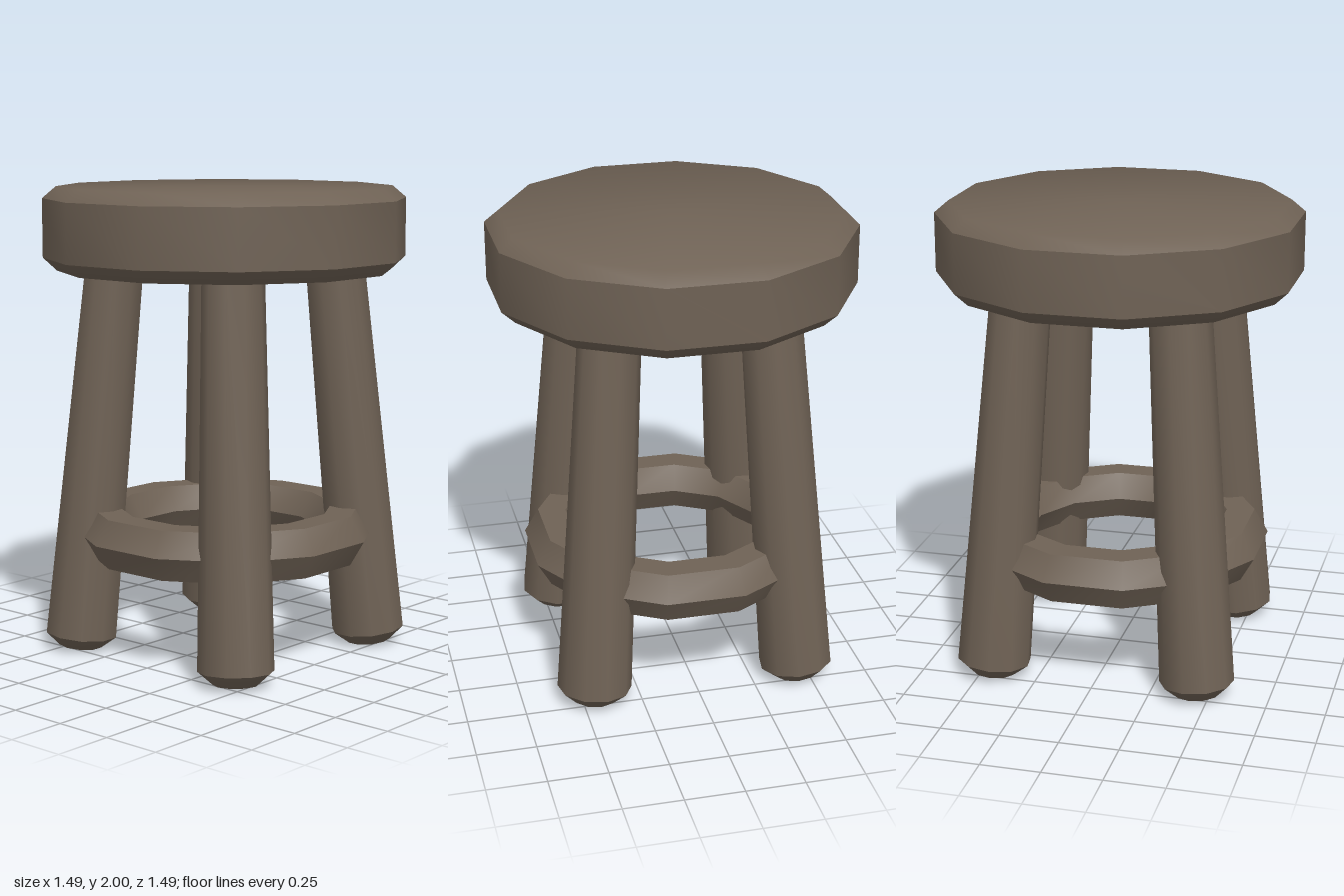
import * as THREE from 'three';
import { toCreasedNormals } from 'three/addons/utils/BufferGeometryUtils.js';

const CREASE = 0.8;

// Faceted turned part from [radius, height] pairs, listed bottom to top
function turned(profile, sides, startDeg) {
  const points = profile.map(([r, y]) => new THREE.Vector2(r, y));
  const geometry = new THREE.LatheGeometry(points, sides, THREE.MathUtils.degToRad(startDeg));
  return toCreasedNormals(geometry, CREASE);
}

export function createModel() {
  const stool = new THREE.Group();
  stool.name = 'stool';
  const wood = new THREE.MeshStandardMaterial({ color: 0x6f6255 });
  wood.name = 'dark wood';

  const add = (name, geometry, parent = stool) => {
    const mesh = new THREE.Mesh(geometry, wood);
    mesh.name = name;
    parent.add(mesh);
    return mesh;
  };

  // Twelve-sided seat with bevelled rims
  add('seat', turned([
    [0, 1.645], [0.714, 1.645], [0.773, 1.7], [0.773, 1.95], [0.714, 2], [0, 2],
  ], 12, 15));

  // Four splayed, tapering legs with bevelled feet
  const foot = new THREE.Vector3(0.449, 0.009, 0.449);
  const top = new THREE.Vector3(0.332, 1.68, 0.332);
  const axis = top.clone().sub(foot);
  const length = axis.length();
  const legGeometry = turned([
    [0, 0], [0.095, 0], [0.158, 0.055], [0.128, length], [0, length],
  ], 10, 27);
  for (let i = 0; i < 4; i++) {
    const corner = new THREE.Group();
    corner.name = `legCorner${i + 1}`;
    corner.rotation.y = i * Math.PI / 2;
    const leg = add(`leg${i + 1}`, legGeometry, corner);
    leg.position.copy(foot);
    leg.quaternion.setFromUnitVectors(new THREE.Vector3(0, 1, 0), axis.clone().normalize());
    stool.add(corner);
  }

  // Hexagonal-section foot ring joining the legs
  const ring = new THREE.TorusGeometry(0.528, 0.121, 6, 12);
  ring.rotateX(Math.PI / 2).rotateY(Math.PI / 12);
  add('footRing', toCreasedNormals(ring, CREASE)).position.y = 0.52;

  return stool;
}
